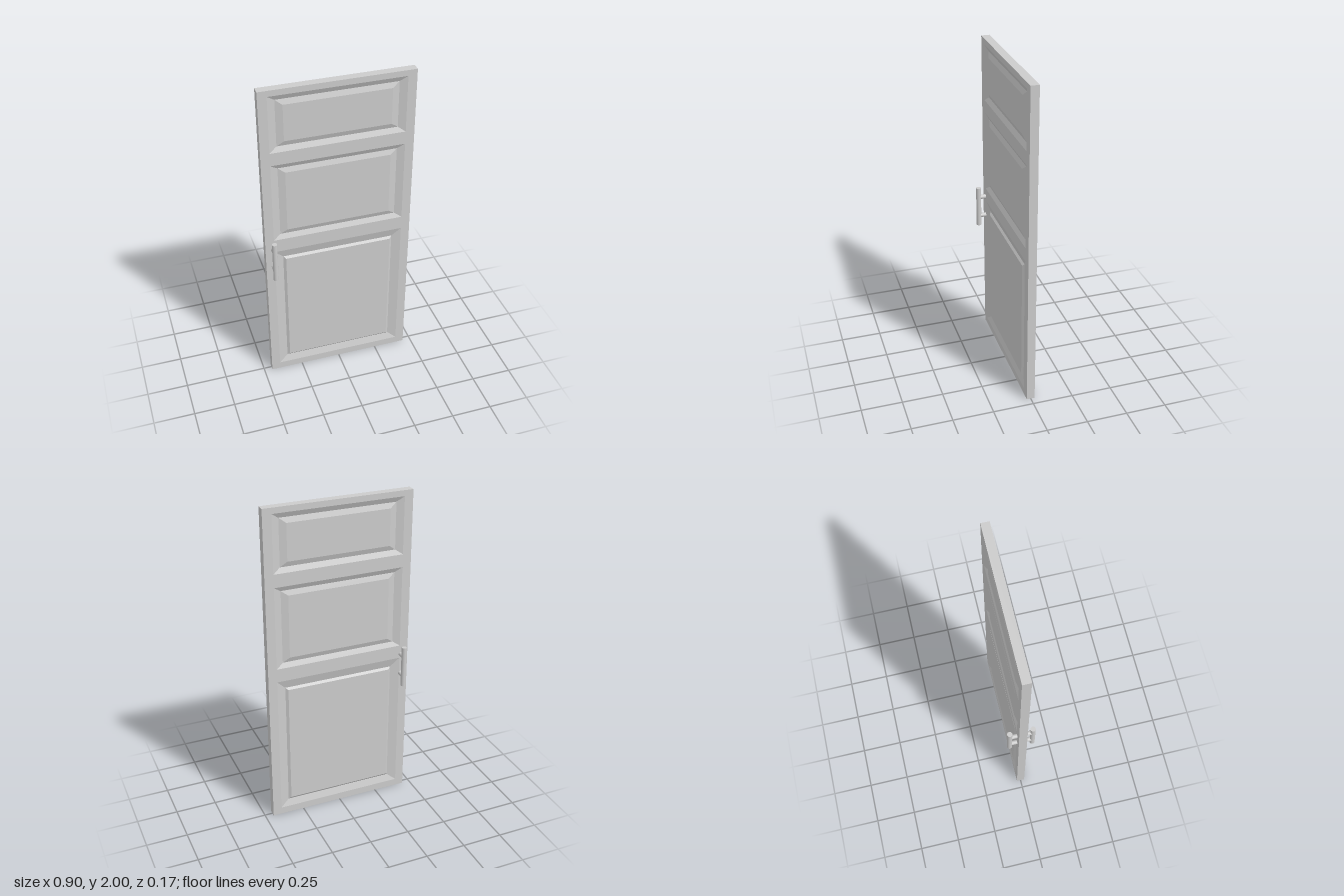
import * as THREE from 'three';

const material = new THREE.MeshStandardMaterial({ color: 0xcccccc });
const W = 0.45, H = 2, Z = 0.025;

// Each panel: nested rectangles [half width, bottom, top, z], from frame to raised field
const GROOVE = 0.01, FIELD = 0.021;
const panels = {
  topPanel: [[0.397, 1.618, 1.965, Z], [0.353, 1.649, 1.934, GROOVE], [0.312, 1.68, 1.903, FIELD]],
  middlePanel: [[0.397, 1.027, 1.538, Z], [0.353, 1.057, 1.508, GROOVE], [0.312, 1.087, 1.478, FIELD]],
  lowerPanel: [[0.397, 0.045, 0.943, Z], [0.342, 0.09, 0.888, GROOVE], [0.327, 0.104, 0.874, FIELD]],
};

const corners = ([w, b, t, z]) => [[-w, b, z], [w, b, z], [w, t, z], [-w, t, z]];

// Flat-faced skin through successive rectangles, optionally closed at the last one
function loftRects(rects, cap) {
  const pos = [];
  const quad = (a, b, c, d) => pos.push(...a, ...b, ...c, ...a, ...c, ...d);
  for (let k = 0; k + 1 < rects.length; k++) {
    const o = corners(rects[k]), n = corners(rects[k + 1]);
    for (let i = 0; i < 4; i++) {
      const j = (i + 1) % 4;
      quad(o[i], o[j], n[j], n[i]);
    }
  }
  if (cap) quad(...corners(rects[rects.length - 1]));
  const g = new THREE.BufferGeometry();
  g.setAttribute('position', new THREE.Float32BufferAttribute(pos, 3));
  g.computeVertexNormals();
  return g;
}

function addMesh(parent, name, geometry) {
  const mesh = new THREE.Mesh(geometry, material);
  mesh.name = name;
  parent.add(mesh);
  return mesh;
}

// Frame face with panel openings, panels and pull handle for one side of the door
function createSide(name, handleX) {
  const side = new THREE.Group();
  side.name = name;

  const toPoints = (rect) => corners(rect).map(([x, y]) => new THREE.Vector2(x, y));
  const shape = new THREE.Shape(toPoints([W, 0, H, Z]));
  for (const rects of Object.values(panels)) {
    shape.holes.push(new THREE.Path(toPoints(rects[0]).reverse()));
  }
  addMesh(side, 'frameFace', new THREE.ShapeGeometry(shape).translate(0, 0, Z));
  for (const [panelName, rects] of Object.entries(panels)) {
    addMesh(side, panelName, loftRects(rects, true));
  }

  // Pull handle: upright bar on two posts
  const handle = new THREE.Group();
  handle.name = 'handle';
  handle.position.x = handleX;
  addMesh(handle, 'handleBar', new THREE.CylinderGeometry(0.0155, 0.0155, 0.26, 32))
    .position.set(0, 0.903, 0.07);
  for (const y of [0.838, 0.968]) {
    const post = addMesh(handle, 'handlePost', new THREE.CylinderGeometry(0.0135, 0.0135, 0.058, 32));
    post.rotation.x = Math.PI / 2;
    post.position.set(0, y, 0.041);
  }
  side.add(handle);
  return side;
}

export function createModel() {
  const door = new THREE.Group();
  door.name = 'door';

  // Outer edges of the slab
  addMesh(door, 'slabEdges', loftRects([[W, 0, H, -Z], [W, 0, H, Z]], false));

  // Both faces, with the handles back to back
  door.add(createSide('frontSide', -0.405));
  const back = createSide('backSide', 0.405);
  back.rotation.y = Math.PI;
  door.add(back);
  return door;
}
